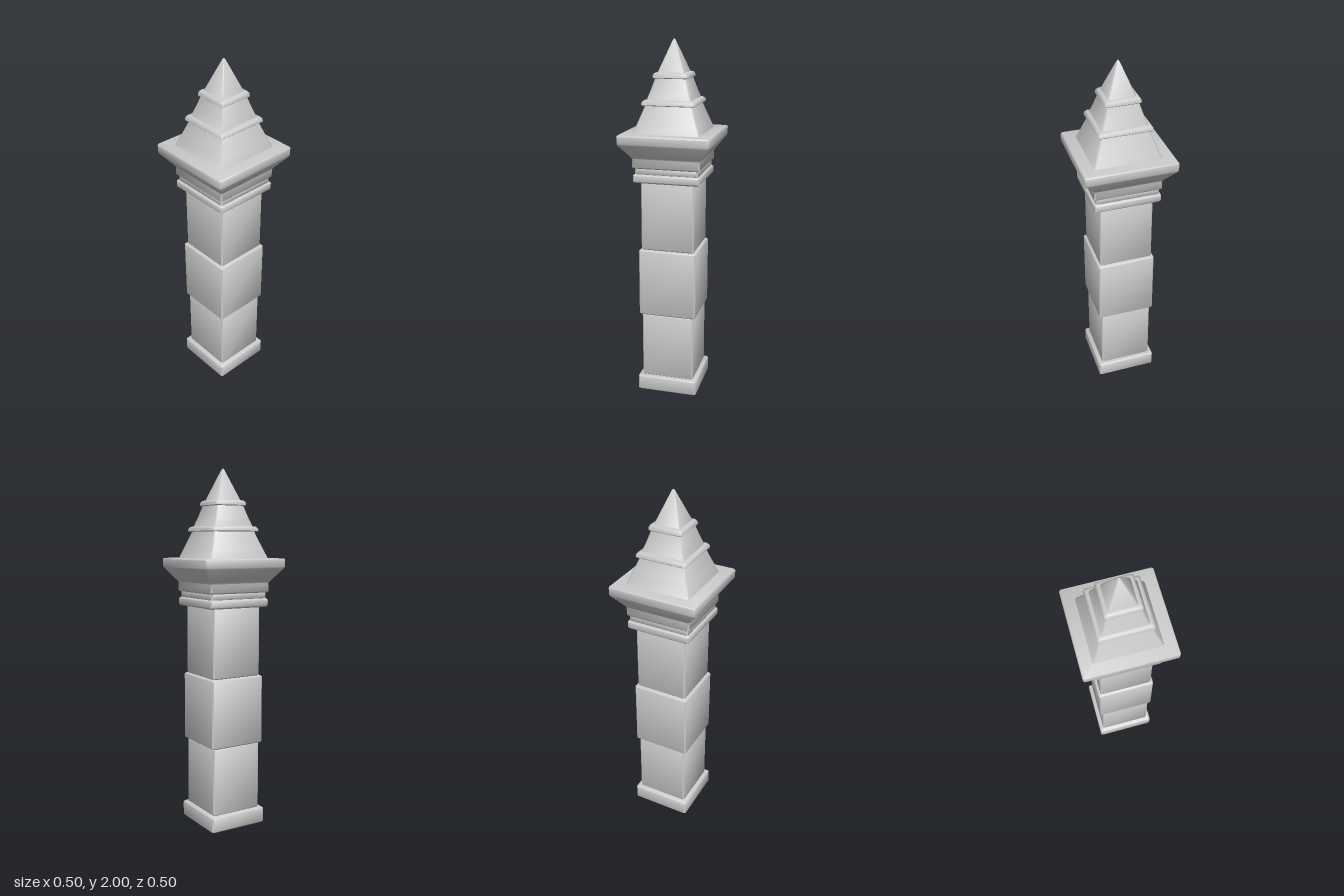
import * as THREE from 'three';
import { toCreasedNormals } from 'three/addons/utils/BufferGeometryUtils.js';

const material = new THREE.MeshStandardMaterial({ color: 0xcccccc });
const openMaterial = new THREE.MeshStandardMaterial({ color: 0xcccccc, side: THREE.DoubleSide });

// Square cross-section with slightly cut corners, in order around +y
function ring(w, y) {
  const c = Math.min(0.008, w * 0.3), a = w - c;
  return [[a, w], [w, a], [w, -a], [a, -w], [-a, -w], [-w, -a], [-w, a], [-a, w]]
    .map(([x, z]) => [x, y, z]);
}

// Square tier lofted through [halfWidth, y] pairs, from bottom to top
function tier(name, profile, openBottom = false) {
  const rings = profile.map(([w, y]) => ring(w, y));
  const pos = [];
  const tri = (...pts) => pts.forEach((p) => pos.push(...p));
  for (let i = 0; i < rings.length - 1; i++) {
    const lo = rings[i], hi = rings[i + 1];
    for (let j = 0; j < 8; j++) {
      const k = (j + 1) % 8;
      tri(lo[j], lo[k], hi[k]);
      tri(lo[j], hi[k], hi[j]);
    }
  }
  const bottom = rings[0], top = rings[rings.length - 1];
  for (let j = 1; j < 7; j++) {
    tri(top[0], top[j], top[j + 1]);
    if (!openBottom) tri(bottom[0], bottom[j + 1], bottom[j]);
  }
  const geometry = new THREE.BufferGeometry();
  geometry.setAttribute('position', new THREE.Float32BufferAttribute(pos, 3));
  const mesh = new THREE.Mesh(toCreasedNormals(geometry, 0.9), openBottom ? openMaterial : material);
  mesh.name = name;
  return mesh;
}

// Straight block with small bevels at top and bottom
function block(name, w, y0, y1, b = 0.006, openBottom = false) {
  return tier(name, [[w - b, y0], [w, y0 + b], [w, y1 - b], [w - b, y1]], openBottom);
}

export function createModel() {
  const group = new THREE.Group();
  group.name = 'pillar';
  group.add(
    // Hollow foot and the three-part shaft
    block('base', 0.172, 0, 0.09, 0.007, true),
    block('lowerShaft', 0.15, 0.088, 0.475),
    block('middleShaft', 0.163, 0.475, 0.863, 0.007),
    block('upperShaft', 0.15, 0.863, 1.252),
    // Collar mouldings under the capital
    block('collar', 0.184, 1.25, 1.298, 0.008),
    block('neck', 0.174, 1.296, 1.335, 0.003),
    // Flared capital
    tier('capital', [[0.18, 1.33], [0.186, 1.336], [0.186, 1.383], [0.192, 1.392],
      [0.247, 1.463], [0.25, 1.472], [0.25, 1.51], [0.246, 1.516]]),
    // Stepped spire
    tier('lowerRoof', [[0.184, 1.514], [0.165, 1.562], [0.146, 1.612], [0.127, 1.664]]),
    tier('lowerLedge', [[0.141, 1.661], [0.145, 1.665], [0.143, 1.678], [0.134, 1.688], [0.122, 1.69]]),
    tier('upperRoof', [[0.122, 1.688], [0.104, 1.738], [0.084, 1.802]]),
    tier('upperLedge', [[0.092, 1.8], [0.096, 1.804], [0.094, 1.818], [0.087, 1.828], [0.074, 1.831]]),
    tier('tip', [[0.074, 1.829], [0.007, 1.994], [0.003, 2]]),
  );
  return group;
}
